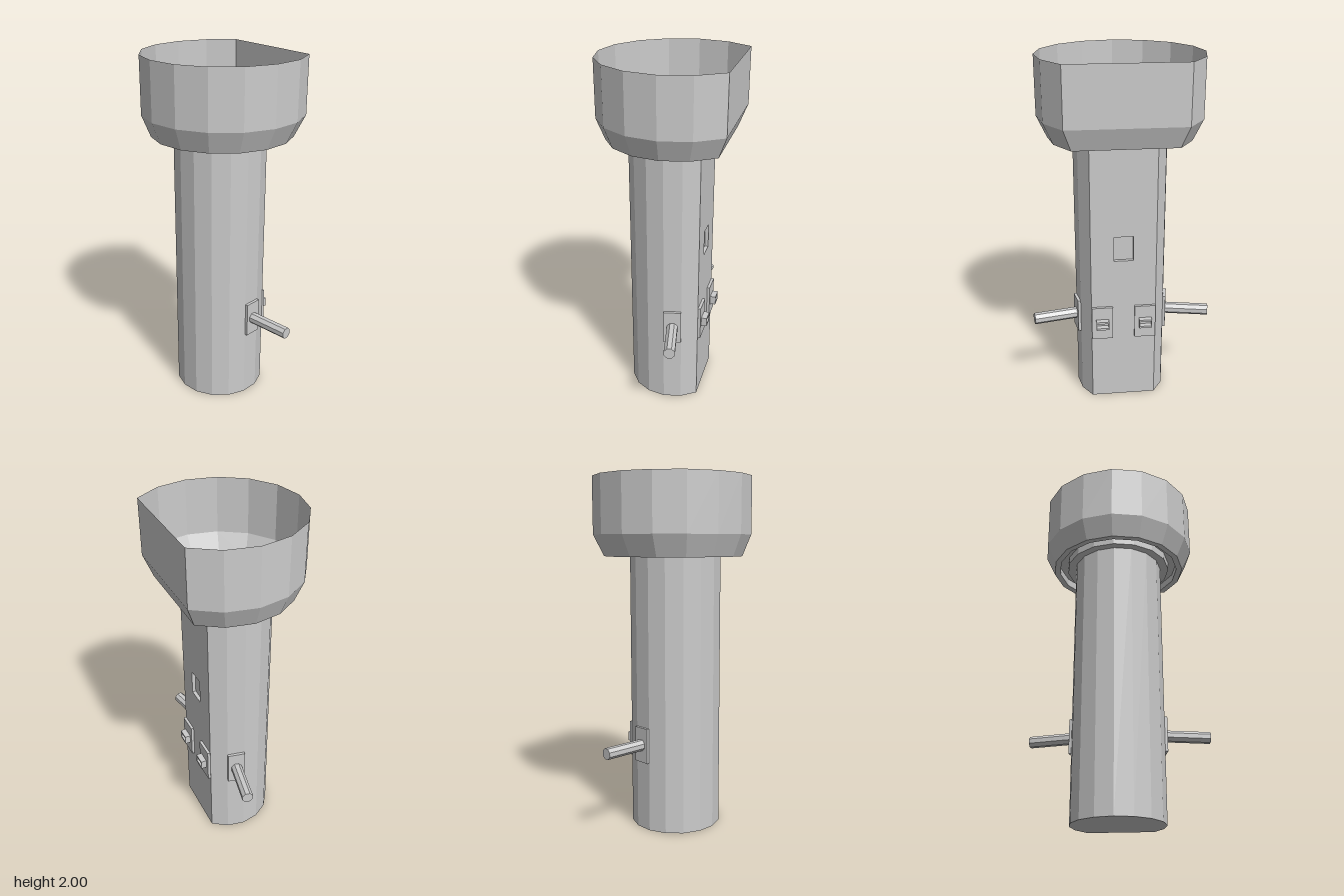
import * as THREE from 'three';

const grey = new THREE.MeshStandardMaterial({ color: 0xcccccc, flatShading: true, side: THREE.DoubleSide });
const TOWER_R = 0.26, TOWER_C = 0.044, RIM_Y = 1.56;
const FLAT_X = TOWER_C + TOWER_R * Math.SQRT1_2;
const FLAT_Z = TOWER_R * Math.SQRT1_2;

function add(parent, name, geometry, x = 0, y = 0, z = 0) {
  const mesh = new THREE.Mesh(geometry, grey);
  mesh.name = name;
  mesh.position.set(x, y, z);
  parent.add(mesh);
  return mesh;
}

// 16-sided outline cut flat on +x: 13 corners from 45 to 315 degrees
function outline(r, c) {
  return Array.from({ length: 13 }, (_, i) => {
    const a = Math.PI / 4 + i * Math.PI / 8;
    return new THREE.Vector2(c + r * Math.cos(a), r * Math.sin(a));
  });
}

// Skin between stacked outlines; rows are [radius, centre x, y]
function skin(rows, withFlat) {
  const pos = [];
  for (let k = 0; k < rows.length - 1; k++) {
    const lo = outline(rows[k][0], rows[k][1]), hi = outline(rows[k + 1][0], rows[k + 1][1]);
    const yl = rows[k][2], yh = rows[k + 1][2];
    for (let i = 0; i < (withFlat ? 13 : 12); i++) {
      const j = (i + 1) % 13;
      const a = [lo[i].x, yl, lo[i].y], b = [lo[j].x, yl, lo[j].y];
      const c = [hi[i].x, yh, hi[i].y], d = [hi[j].x, yh, hi[j].y];
      pos.push(...a, ...c, ...b, ...b, ...c, ...d);
    }
  }
  const g = new THREE.BufferGeometry();
  g.setAttribute('position', new THREE.Float32BufferAttribute(pos, 3));
  g.computeVertexNormals();
  return g;
}

function rect(path, x0, y0, x1, y1) {
  path.moveTo(x0, y0);
  path.lineTo(x1, y0);
  path.lineTo(x1, y1);
  path.lineTo(x0, y1);
  path.closePath();
  return path;
}

export function createModel() {
  const model = new THREE.Group();
  model.name = 'tower';

  // Hollow shaft: curved wall, floor and flat wall with a window opening
  add(model, 'shaftWall', skin([[TOWER_R, TOWER_C, 0], [TOWER_R, TOWER_C, RIM_Y]], false));
  add(model, 'shaftFloor', new THREE.ShapeGeometry(new THREE.Shape(outline(TOWER_R, TOWER_C))).rotateX(Math.PI / 2));
  const wall = rect(new THREE.Shape(), -FLAT_Z, 0, FLAT_Z, RIM_Y);
  wall.holes.push(rect(new THREE.Path(), -0.055, 0.885, 0.055, 1.03));
  add(model, 'flatWall', new THREE.ShapeGeometry(wall).rotateY(Math.PI / 2), FLAT_X);

  // Window recess: box with its outer side left open
  const recess = new THREE.BoxGeometry(0.02, 0.145, 0.11);
  recess.setIndex(Array.from(recess.index.array).slice(6));
  add(model, 'windowRecess', recess, FLAT_X - 0.01, 0.9575, 0);

  // Open head: grooved underside, flared skirt and upright wall
  add(model, 'head', skin([
    [TOWER_R, TOWER_C, RIM_Y], [0.31, 0.051, RIM_Y], [0.31, 0.051, RIM_Y + 0.045],
    [0.36, 0.055, RIM_Y + 0.045], [0.36, 0.055, RIM_Y], [0.395, 0.058, RIM_Y],
    [0.45, 0.065, 1.68], [0.45, 0.065, 2],
  ], true));

  // Plates with slotted sockets on the flat wall
  for (const s of [1, -1]) {
    const socket = new THREE.Group();
    socket.name = s > 0 ? 'frontSocket' : 'backSocket';
    socket.position.set(FLAT_X, 0.5, s * 0.123);
    add(socket, 'plate', new THREE.BoxGeometry(0.016, 0.2, 0.12), 0.008);
    const frame = rect(new THREE.Shape(), -0.036, -0.026, 0.036, 0.026);
    frame.holes.push(rect(new THREE.Path(), -0.034, -0.014, 0.034, 0.014));
    add(socket, 'slot', new THREE.ExtrudeGeometry(frame, { depth: 0.034, bevelEnabled: false }).rotateY(Math.PI / 2), 0.014);
    model.add(socket);
  }

  // Rods on plates, square to the facets beside the front and back corners
  const [p, q] = [outline(TOWER_R, TOWER_C)[1], outline(TOWER_R, TOWER_C)[2]];
  for (const s of [1, -1]) {
    const arm = new THREE.Group();
    arm.name = s > 0 ? 'frontArm' : 'backArm';
    arm.position.set((p.x + q.x) / 2, 0.5, s * (p.y + q.y) / 2);
    arm.rotation.y = s > 0 ? Math.PI / 16 : Math.PI - Math.PI / 16;
    add(arm, 'plate', new THREE.BoxGeometry(0.1, 0.2, 0.016), 0, 0, 0.008);
    const rod = new THREE.CylinderGeometry(0.033, 0.033, 0.265, 8).rotateY(Math.PI / 8).rotateX(Math.PI / 2);
    add(arm, 'rod', rod, 0, 0, 0.1325);
    model.add(arm);
  }
  return model;
}
